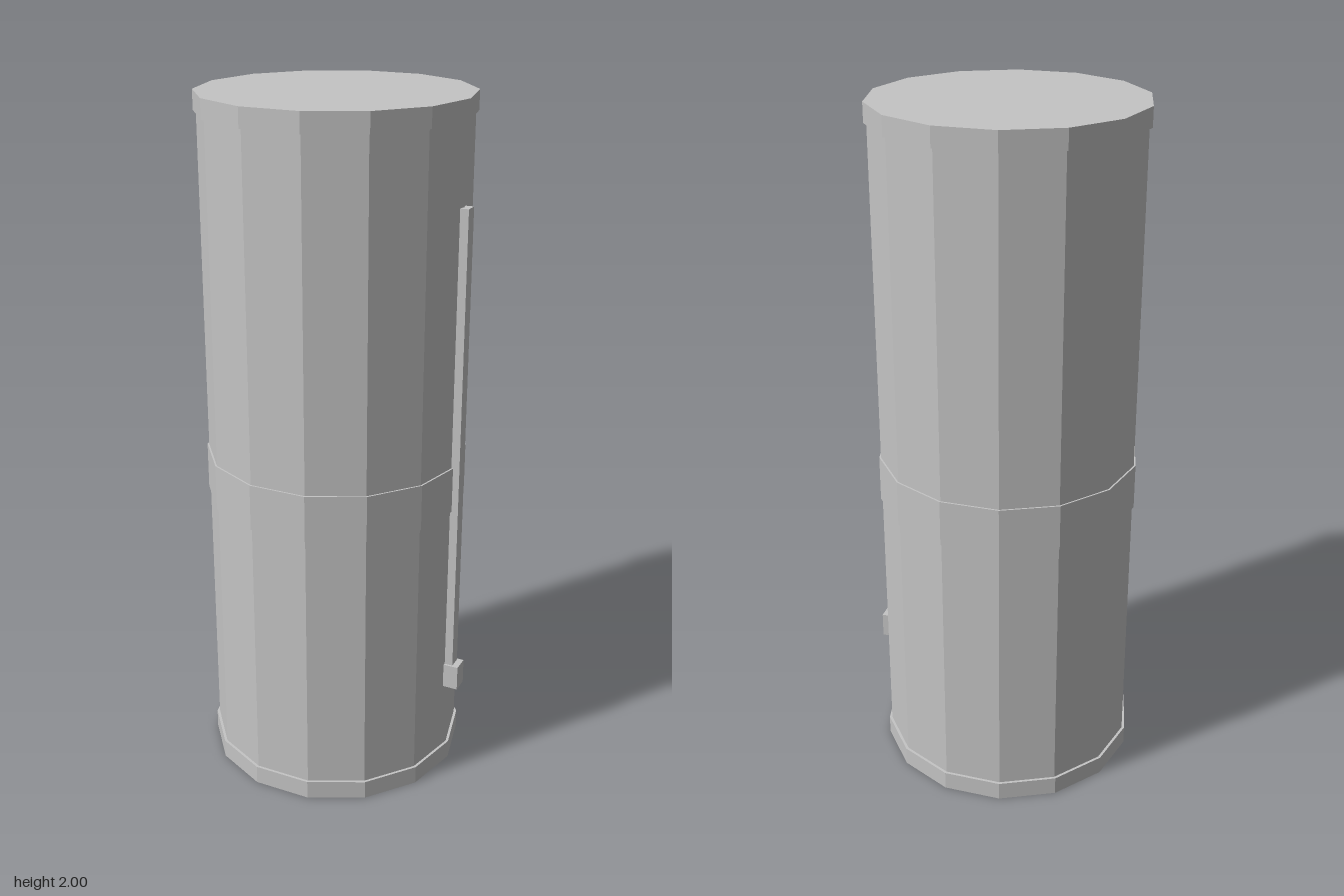
import * as THREE from 'three';

const SIDES = 14;
const AXIS_X = -0.016; // the side rail shifts the drum off centre
const BODY_R = 0.374, RIM_R = 0.382, BAND_R = 0.379;

export function createModel() {
  const group = new THREE.Group();
  const grey = new THREE.MeshStandardMaterial({ color: 0xc4c4c4 });
  grey.name = 'grey';
  grey.flatShading = true;

  const add = (name, geometry, x, y, z = 0) => {
    const mesh = new THREE.Mesh(geometry, grey);
    mesh.name = name;
    mesh.position.set(x, y, z);
    group.add(mesh);
    return mesh;
  };

  // Faceted drum with a corner pointing along +x
  const drum = (name, radius, y0, y1) => add(
    name,
    new THREE.CylinderGeometry(radius, radius, y1 - y0, SIDES, 1, false, Math.PI / 2),
    AXIS_X, (y0 + y1) / 2
  );

  // Hollow ring with a rectangular section
  const ring = (name, inner, outer, y0, y1) => {
    const profile = [[inner, y0], [outer, y0], [outer, y1], [inner, y1], [inner, y0]]
      .map(([r, y]) => new THREE.Vector2(r, y));
    return add(name, new THREE.LatheGeometry(profile, SIDES, Math.PI / 2), AXIS_X, 0);
  };

  // Body, with its underside recessed inside the bottom rim
  drum('body', BODY_R, 0.052, 1.96);
  drum('topCap', RIM_R, 1.945, 2);
  ring('middleBand', BODY_R - 0.01, BAND_R, 0.845, 0.98);
  ring('bottomRim', BODY_R, RIM_R, 0, 0.055);

  // Thin vertical rail on the left side, ending in a small block
  add('sideRail', new THREE.BoxGeometry(0.04, 1.39, 0.038), 0.358, 1.025);
  add('railBlock', new THREE.BoxGeometry(0.045, 0.075, 0.05), 0.3745, 0.3025);

  return group;
}
